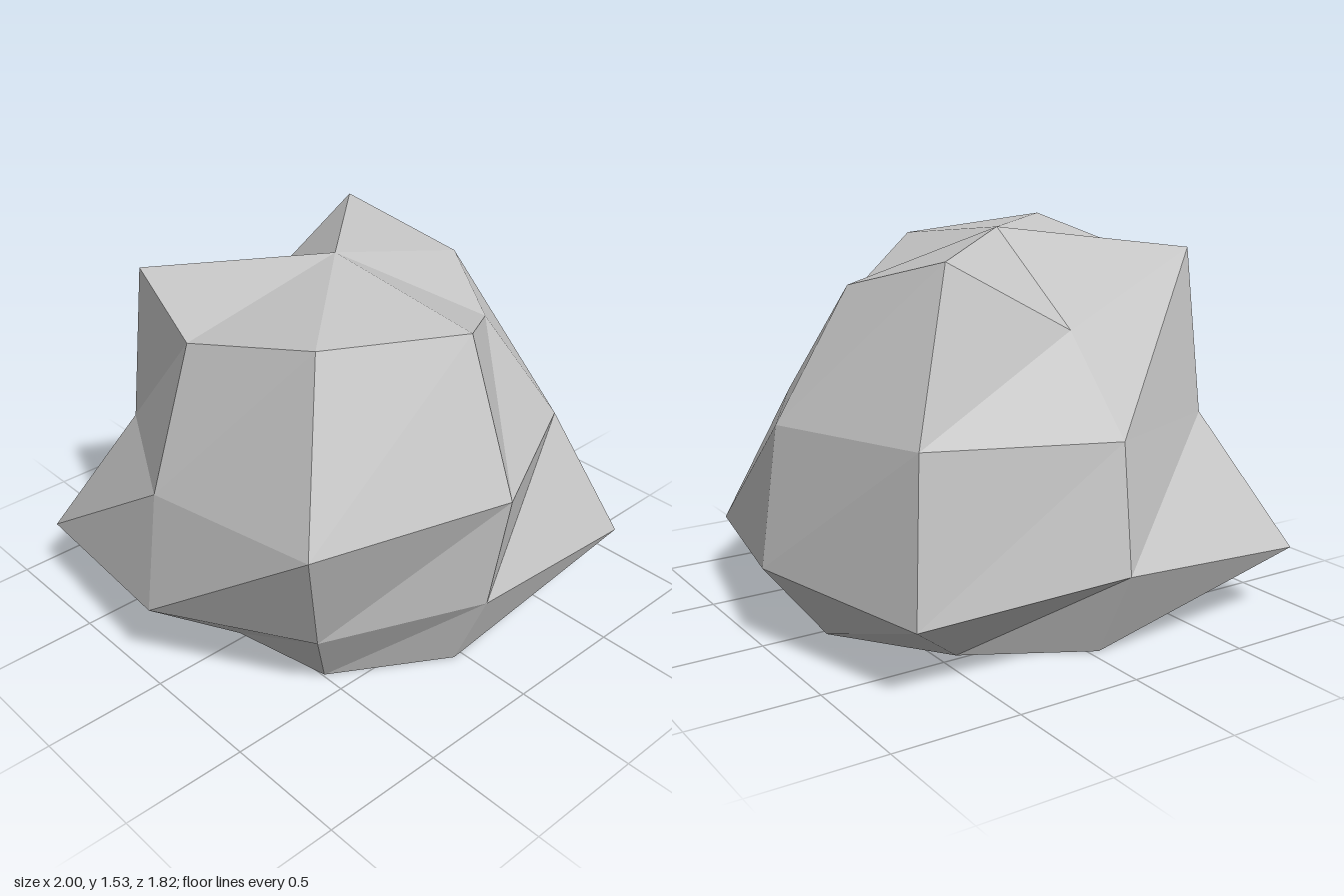
import * as THREE from 'three';

// Each ring runs front, front-left, left, back-left, back, back-right, right, front-right
// as [radius, height] pairs.
const rings = [
  // flat underside
  [[0.745, 0], [0.665, 0], [0.785, 0], [0.665, 0], [0.745, 0], [0.58, 0], [0.54, 0], [0.64, 0]],
  // widest belt
  [[0.904, 0.36], [1.216, 0.27], [1.04, 0.32], [1.174, 0.29], [0.936, 0.35], [1.226, 0.28], [0.96, 0.345], [0.89, 0.36]],
  // middle belt
  [[0.995, 0.865], [0.905, 0.84], [0.965, 0.86], [1.124, 0.9], [0.875, 0.84], [0.834, 0.82], [0.89, 0.84], [1.155, 0.91]],
  // shoulder
  [[0.75, 1.45], [0.594, 1.27], [0.66, 1.35], [0.778, 1.48], [0.525, 1.19], [0.764, 1.465], [0.7, 1.39], [0.815, 1.52]],
];
const SIDES = 8;
const CX = -0.04, CZ = -0.03, DEPTH = 0.94;

function boulderGeometry() {
  const positions = [];
  const index = [];
  for (const ring of rings) {
    ring.forEach(([r, y], i) => {
      const a = (i / SIDES) * Math.PI * 2;
      positions.push(CX + r * Math.sin(a), y, CZ + DEPTH * r * Math.cos(a));
    });
  }
  const bottom = rings.length * SIDES;
  const top = bottom + 1;
  positions.push(CX, 0, CZ, CX, 1.53, CZ);

  for (let i = 0; i < SIDES; i++) {
    const j = (i + 1) % SIDES;
    // sides, each quad split from lower corner to the next upper corner
    for (let k = 0; k < rings.length - 1; k++) {
      const lo = k * SIDES, hi = lo + SIDES;
      index.push(lo + i, lo + j, hi + j, lo + i, hi + j, hi + i);
    }
    // underside and crown fans
    const crown = (rings.length - 1) * SIDES;
    index.push(bottom, j, i, top, crown + i, crown + j);
  }

  const indexed = new THREE.BufferGeometry();
  indexed.setAttribute('position', new THREE.Float32BufferAttribute(positions, 3));
  indexed.setIndex(index);
  const geometry = indexed.toNonIndexed();
  geometry.computeVertexNormals();
  return geometry;
}

export function createModel() {
  const group = new THREE.Group();
  group.name = 'rock';
  const stone = new THREE.MeshStandardMaterial({ color: 0xc8c8c8, flatShading: true });
  stone.name = 'light grey stone';
  const boulder = new THREE.Mesh(boulderGeometry(), stone);
  boulder.name = 'boulder';
  group.add(boulder);
  return group;
}
